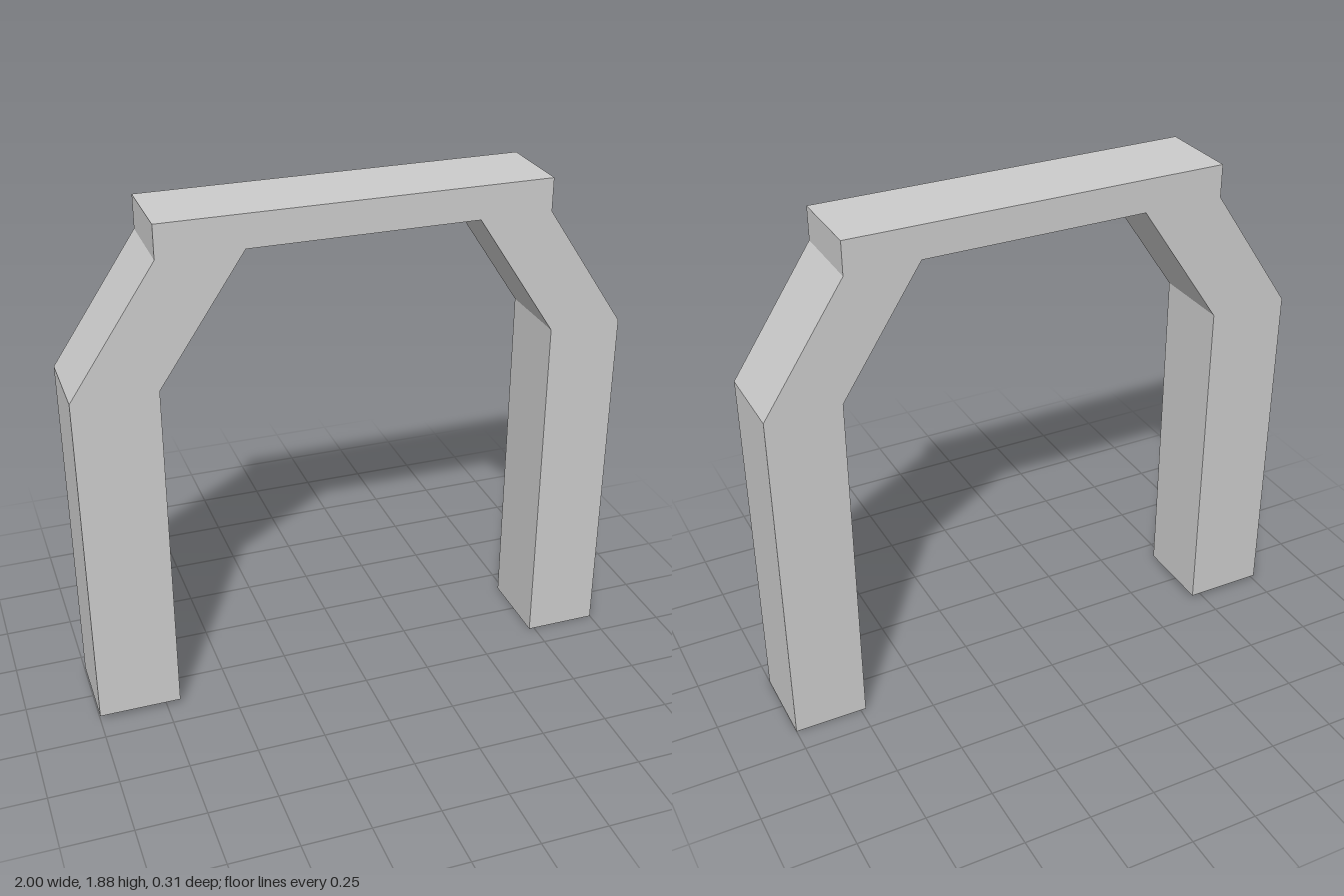
import * as THREE from 'three';

const DEPTH = 0.305;
const material = new THREE.MeshStandardMaterial({ color: 0xcccccc, flatShading: true });

// Extrudes a front outline, centred on z = 0
function slab(name, outline) {
  const shape = new THREE.Shape(outline.map(([x, y]) => new THREE.Vector2(x, y)));
  const geometry = new THREE.ExtrudeGeometry(shape, { depth: DEPTH, bevelEnabled: false });
  geometry.translate(0, 0, -DEPTH / 2);
  const mesh = new THREE.Mesh(geometry, material);
  mesh.name = name;
  return mesh;
}

export function createModel() {
  const arch = new THREE.Group();
  arch.name = 'arch';

  const beamBottom = 1.76, beamTop = 1.88;

  // The two sides differ slightly: foot height, knee height, and x of each corner
  const sides = [
    { side: 'right', foot: 0.02, knee: 1.3, outer: -1, inner: -0.7, topOuter: -0.69, topInner: -0.39 },
    { side: 'left', foot: 0, knee: 1.31, outer: 1, inner: 0.73, topOuter: 0.7, topInner: 0.435 },
  ];

  for (const s of sides) {
    // Upright leg
    arch.add(slab(`${s.side}Leg`, [
      [s.outer, s.foot], [s.inner, s.foot], [s.inner, s.knee], [s.outer, s.knee],
    ]));
    // Slanted brace between leg and beam
    arch.add(slab(`${s.side}Brace`, [
      [s.outer, s.knee], [s.inner, s.knee], [s.topInner, beamBottom], [s.topOuter, beamBottom],
    ]));
  }

  // Top beam across both braces
  const [a, b] = sides.map((s) => s.topOuter);
  arch.add(slab('topBeam', [[a, beamBottom], [b, beamBottom], [b, beamTop], [a, beamTop]]));

  return arch;
}
